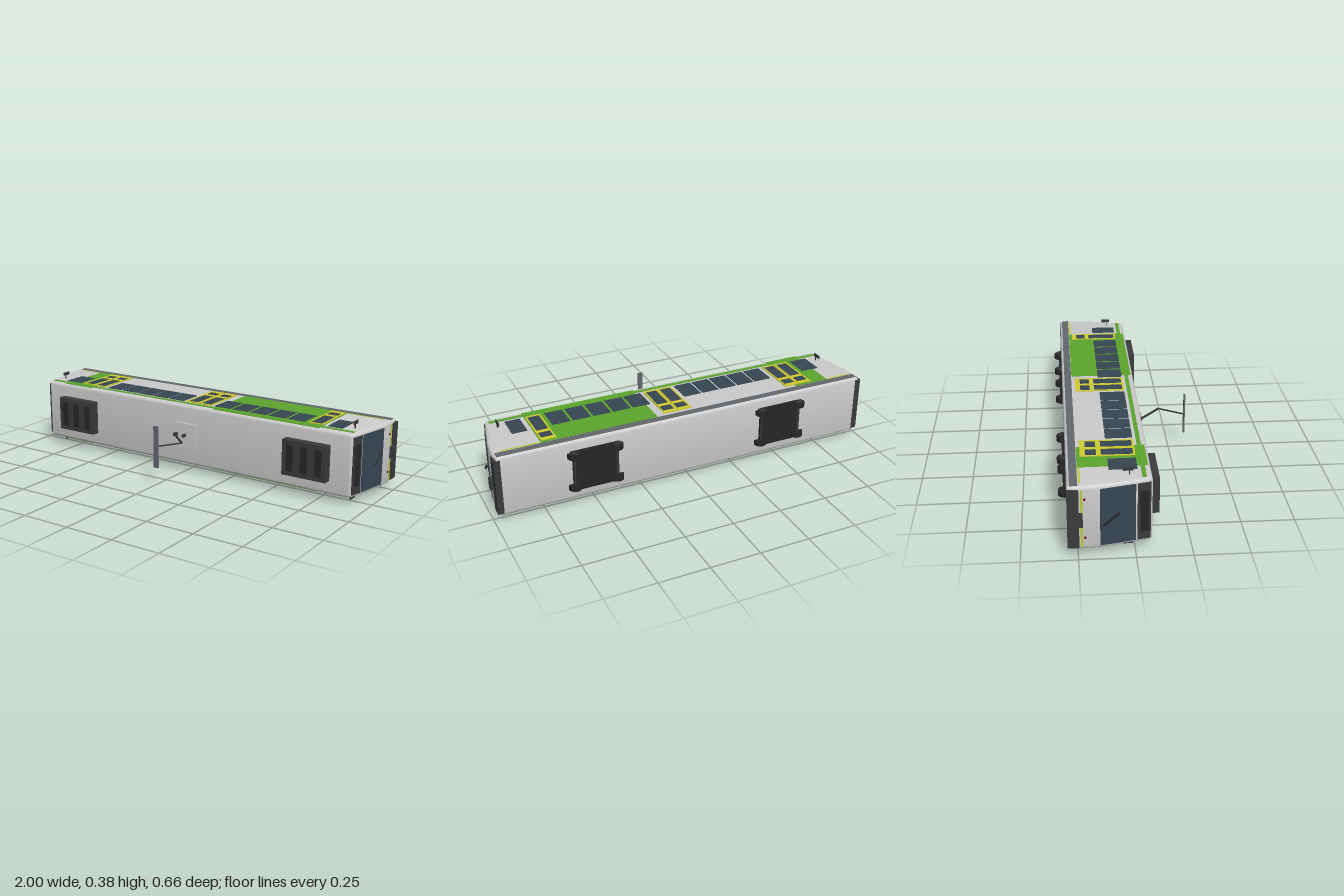
import * as THREE from 'three';
import { toCreasedNormals } from 'three/addons/utils/BufferGeometryUtils.js';

const mat = (color) => new THREE.MeshStandardMaterial({ color });
const GREY = mat(0xcccccc), DARK = mat(0x3a3b3d), BLACK = mat(0x262626), GLASS = mat(0x374653);
const GREEN = mat(0x5ca52e), LIME = mat(0xbccb2c), YELLOW = mat(0xd0cc30), SKIRT = mat(0x62676d), RED = mat(0x701518);
const HALF = 0.156; // half width of the body
const SLOPE = 0.217;

function add(parent, name, geo, material, x = 0, y = 0, z = 0) {
  const m = new THREE.Mesh(geo, material);
  m.name = name;
  m.position.set(x, y, z);
  parent.add(m);
  return m;
}

// box given by its limits on each axis
function box(parent, name, material, x0, x1, y0, y1, z0, z1) {
  return add(parent, name, new THREE.BoxGeometry(x1 - x0, y1 - y0, z1 - z0), material,
    (x0 + x1) / 2, (y0 + y1) / 2, (z0 + z1) / 2);
}

// thin bar between two points
function bar(parent, name, material, a, b, w, d) {
  const m = add(parent, name, new THREE.BoxGeometry(w, a.distanceTo(b), d), material);
  m.position.copy(a).add(b).multiplyScalar(0.5);
  m.quaternion.setFromUnitVectors(new THREE.Vector3(0, 1, 0), b.clone().sub(a).normalize());
  return m;
}

function addBody(car) {
  const p = [[-0.972, -0.295], [0.972, -0.295], [0.978, -0.25], [0.972, -0.155], [0.925, 0.06],
    [0.91, 0.075], [-0.91, 0.075], [-0.925, 0.06], [-0.972, -0.155], [-0.978, -0.25]];
  const shape = new THREE.Shape(p.map(([x, y]) => new THREE.Vector2(x, y)));
  const r = 0.016;
  const geo = new THREE.ExtrudeGeometry(shape, {
    depth: 2 * (HALF - r), bevelThickness: r, bevelSize: r, bevelOffset: -r, bevelSegments: 4 });
  geo.translate(0, 0, -(HALF - r));
  add(car, 'body', toCreasedNormals(geo, 0.5), GREY);
}

// door leaf: yellow frame bars around two panes
function addLeaf(side, x0, x1) {
  const leaf = new THREE.Group();
  leaf.name = 'doorLeaf';
  side.add(leaf);
  const t = 0.008, z = HALF - 0.004;
  box(leaf, 'doorPane', GLASS, x0 + t, x1 - t, -0.135, 0.008, z, HALF + 0.003);
  box(leaf, 'doorLowerPane', GLASS, x0 + t, x1 - t, -0.205, -0.158, z, HALF + 0.003);
  for (const x of [x0, x1 - t]) box(leaf, 'doorStile', YELLOW, x, x + t, -0.23, 0.016, z, HALF + 0.005);
  for (const [a, b] of [[-0.23, -0.207], [-0.157, -0.137], [0.007, 0.016]])
    box(leaf, 'doorRail', YELLOW, x0, x1, a, b, z, HALF + 0.005);
}

function addSide(car, s) {
  const side = new THREE.Group();
  side.name = s > 0 ? 'rightSide' : 'leftSide';
  car.add(side);
  // built facing +z, then mirrored through geometry for the other flank
  const z = HALF - 0.004;
  box(side, 'skirt', SKIRT, -0.965, 0.965, -0.283, -0.248, z, HALF + 0.001);
  for (const [a, b] of [[-0.81, -0.625], [0.155, 0.743]])
    box(side, 'greenPanel', GREEN, a, b, -0.246, 0.064, z, HALF + 0.0015);
  box(side, 'greenLine', GREEN, -0.91, 0.91, 0.03, 0.049, z, HALF + 0.0025);
  for (const [a, b] of [[-0.94, -0.81], [0.743, 0.94]])
    box(side, 'limeLine', LIME, a, b, -0.244, -0.236, z, HALF + 0.001);
  // windows
  const win = (a, b) => box(side, 'window', GLASS, a, b, -0.015, 0.11, z, HALF + 0.003).position.setY(-0.0475);
  win(-0.84, -0.745);
  win(0.765, 0.84);
  for (let i = 0; i < 5; i++) {
    win(-0.55 + i * 0.101, -0.459 + i * 0.101);
    win(0.134 + i * 0.104, 0.225 + i * 0.104);
  }
  // two double doors and one single
  for (const [a, b] of [[-0.72, -0.647], [-0.645, -0.572], [-0.035, 0.039], [0.041, 0.115], [0.663, 0.738]])
    addLeaf(side, a, b);
  // mirrors near both ends
  for (const x of [-0.885, 0.885]) {
    box(side, 'mirrorArm', BLACK, x - 0.002, x + 0.002, -0.025, -0.021, HALF - 0.01, 0.178);
    box(side, 'mirror', DARK, x - 0.003, x + 0.003, -0.052, -0.007, 0.176, 0.192);
  }
  // boxes are symmetric, so mirroring the positions is enough
  if (s < 0) side.traverse((o) => { o.position.z *= -1; });
}

function addEnd(car, s) {
  const end = new THREE.Group();
  end.name = s > 0 ? 'frontEnd' : 'rearEnd';
  car.add(end);
  // panel lying on the sloped upper face
  const panel = (name, material, h0, h1, w, out) => {
    const h = (h0 + h1) / 2;
    const m = add(end, name, new THREE.BoxGeometry(0.01, (h1 - h0) * 1.023, 2 * w), material,
      0.972 - (h + 0.155) * SLOPE - 0.005 + out, h, 0);
    m.rotation.z = Math.atan(SLOPE);
  };
  panel('windscreen', GLASS, -0.155, 0, 0.14, 0.003);
  panel('signPanel', DARK, 0.008, 0.066, 0.14, 0.003);
  panel('signScreen', BLACK, 0.02, 0.057, 0.101, 0.005);
  box(end, 'limeBand', LIME, 0.965, 0.979, -0.238, -0.229, -0.14, 0.14);
  box(end, 'bumper', DARK, 0.955, 0.985, -0.296, -0.245, -0.142, 0.142);
  box(end, 'coupler', DARK, 0.97, 1, -0.253, -0.229, -0.03, 0.03);
  for (const z of [-0.095, 0.095]) {
    const lamp = add(end, 'lamp', new THREE.CylinderGeometry(0.0055, 0.0055, 0.01, 16), RED, 0.974, -0.22, z);
    lamp.rotation.z = Math.PI / 2;
  }
  bar(end, 'wiper', BLACK, new THREE.Vector3(0.972, -0.072, 0.018), new THREE.Vector3(0.977, -0.142, -0.04), 0.004, 0.011);
  if (s < 0) end.rotation.y = Math.PI;
}

function addBogie(car, cx) {
  const bogie = new THREE.Group();
  bogie.name = 'bogie';
  bogie.position.x = cx;
  car.add(bogie);
  box(bogie, 'bogieFrame', BLACK, -0.115, 0.115, -0.307, -0.285, -0.106, 0.106);
  for (const x of [-0.107, 0.107]) {
    const axle = add(bogie, 'axle', new THREE.CylinderGeometry(0.008, 0.008, 0.18, 12), DARK, x, -0.3, 0);
    axle.rotation.x = Math.PI / 2;
    for (const z of [-0.085, 0.085]) {
      const wheel = add(bogie, 'wheel', new THREE.CylinderGeometry(0.032, 0.032, 0.025, 24), BLACK, x, -0.3, z);
      wheel.rotation.x = Math.PI / 2;
      const flange = add(bogie, 'wheelFlange', new THREE.CylinderGeometry(0.02, 0.02, 0.01, 20), DARK, x, -0.3, z * 1.18);
      flange.rotation.x = Math.PI / 2;
    }
  }
}

function addRoofUnit(car, cx) {
  const unit = new THREE.Group();
  unit.name = 'roofUnit';
  unit.position.x = cx;
  car.add(unit);
  box(unit, 'roofBox', DARK, -0.116, 0.116, 0.07, 0.117, -0.088, 0.088);
  for (const x of [-0.075, 0, 0.075])
    box(unit, 'roofVent', BLACK, x - 0.017, x + 0.017, 0.11, 0.12, -0.065, 0.065);
}

function addPantograph(car) {
  const pan = new THREE.Group();
  pan.name = 'pantograph';
  car.add(pan);
  const V = (x, y) => new THREE.Vector3(x, y, 0);
  box(pan, 'pantographBase', GREY, -0.068, 0.068, 0.073, 0.085, -0.062, 0.062);
  add(pan, 'pantographPivot', new THREE.CylinderGeometry(0.009, 0.009, 0.02, 16), DARK, 0, 0.093, 0);
  box(pan, 'pantographFoot', DARK, -0.058, -0.042, 0.084, 0.106, -0.008, 0.008);
  bar(pan, 'lowerArm', DARK, V(-0.052, 0.1), V(0.063, 0.202), 0.008, 0.008);
  bar(pan, 'upperArm', DARK, V(0.063, 0.202), V(-0.01, 0.326), 0.006, 0.006);
  box(pan, 'contactBar', SKIRT, -0.016, 0.01, 0.325, 0.332, -0.106, 0.106);
}

export function createModel() {
  const model = new THREE.Group();
  model.name = 'railcar';
  // built upright, then laid on its side so the roof faces +z
  const car = new THREE.Group();
  car.name = 'car';
  car.rotation.x = Math.PI / 2;
  car.position.y = 0.192;
  model.add(car);
  addBody(car);
  for (const s of [1, -1]) {
    addSide(car, s);
    addEnd(car, s);
    addBogie(car, s * 0.5);
    addRoofUnit(car, s * 0.695);
  }
  addPantograph(car);
  return model;
}
